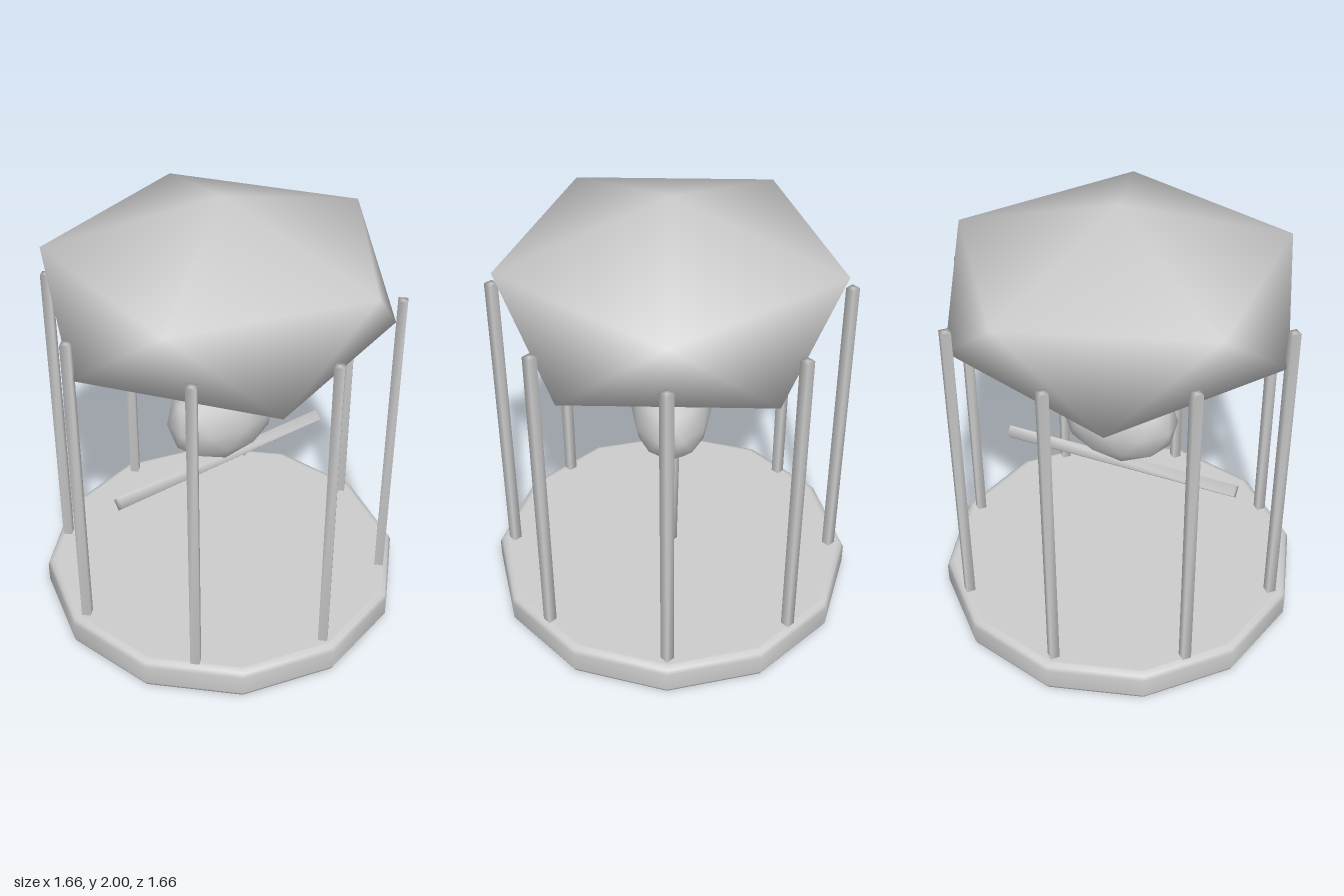
import * as THREE from 'three';
import { mergeVertices } from 'three/addons/utils/BufferGeometryUtils.js';

const grey = new THREE.MeshStandardMaterial({ color: 0xcccccc });
grey.name = 'plain grey';

// Smooth-shaded icosphere with a vertex at each pole, stretched to an ellipsoid
function icoEllipsoid(detail, rx, ry, rz) {
  const g = new THREE.IcosahedronGeometry(1, detail);
  g.setAttribute('normal', g.attributes.position.clone());
  g.rotateZ(-Math.atan(2 / (1 + Math.sqrt(5))));
  return g.scale(rx, ry, rz);
}

// Four-sided rod along y with softened shading
function rod(radius, length) {
  const g = new THREE.CylinderGeometry(radius, radius, length, 4);
  g.deleteAttribute('normal');
  g.deleteAttribute('uv');
  const merged = mergeVertices(g);
  merged.computeVertexNormals();
  return merged;
}

export function createModel() {
  const model = new THREE.Group();
  const add = (name, geometry, x, y, z) => {
    const mesh = new THREE.Mesh(geometry, grey);
    mesh.name = name;
    mesh.position.set(x, y, z);
    model.add(mesh);
    return mesh;
  };

  // Twelve-sided base plate with rounded rims
  const profile = [
    [0, 0], [0.79, 0], [0.8, 0], [0.82, 0.01], [0.83, 0.03],
    [0.83, 0.12], [0.82, 0.14], [0.8, 0.15], [0.79, 0.15], [0, 0.15],
  ].map(([x, y]) => new THREE.Vector2(x, y));
  add('base', new THREE.LatheGeometry(profile, 12), 0, 0, 0);

  // Ring of eight upright bars
  const barGeometry = rod(0.029, 1.445);
  for (let i = 0; i < 8; i++) {
    const a = (i * Math.PI) / 4;
    add('uprightBar' + (i + 1), barGeometry, 0.755 * Math.sin(a), 0.8625, 0.755 * Math.cos(a));
  }

  // Horizontal perch running side to side
  add('perch', rod(0.036, 1.12), 0, 0.685, 0).rotation.z = Math.PI / 2;

  // Round body resting on the perch
  add('body', icoEllipsoid(1, 0.27, 0.22, 0.18), 0, 0.95, 0);

  // Large faceted dome on top
  add('dome', icoEllipsoid(0, 0.832, 0.41, 0.832), 0, 1.59, 0);

  return model;
}
